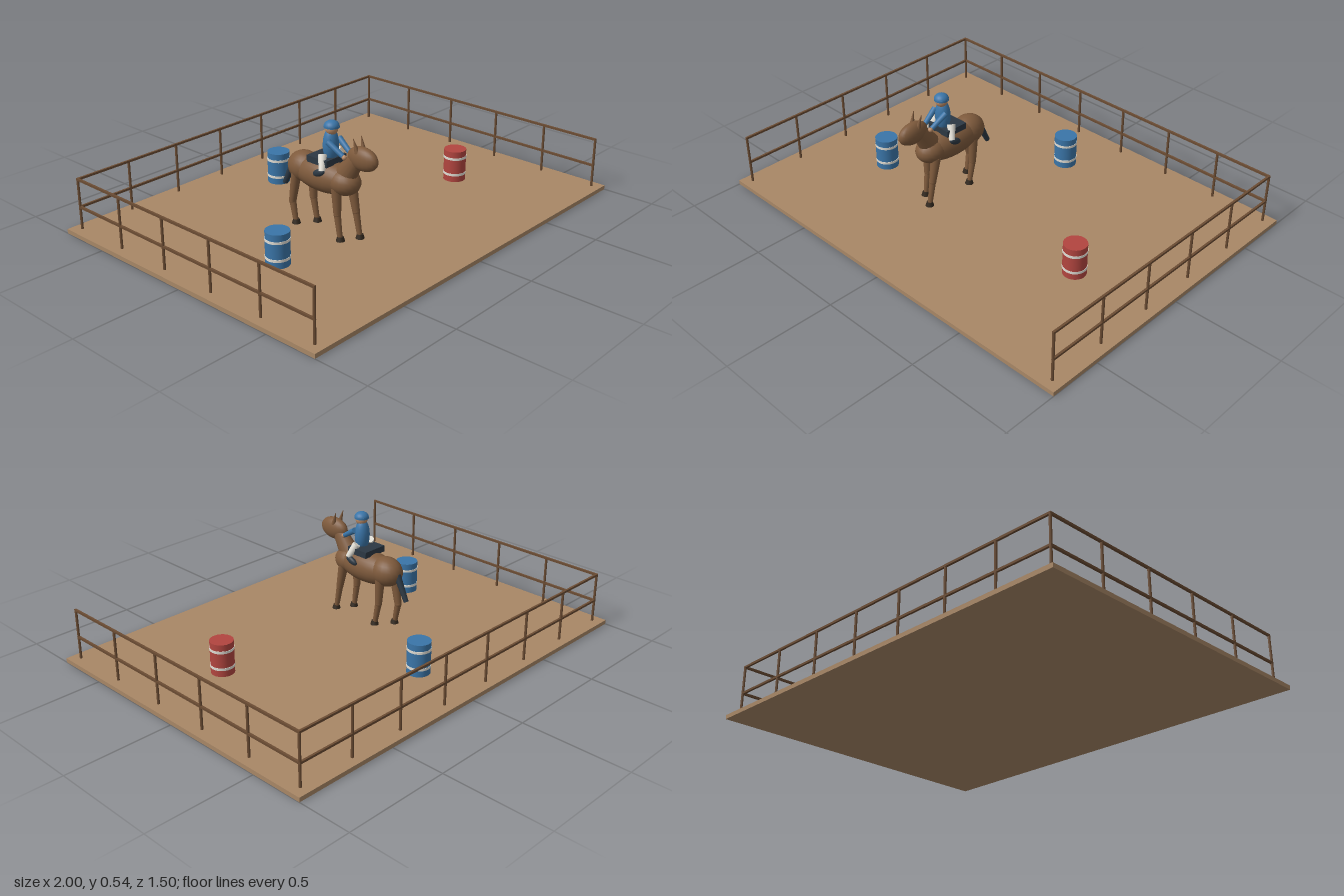
import * as THREE from 'three';

const mat = (name, color) => {
  const m = new THREE.MeshStandardMaterial({ color });
  m.name = name;
  return m;
};

export function createModel() {
  const sand = mat('sand', 0xa88766), wood = mat('fence wood', 0x6b4c33);
  const coat = mat('brown coat', 0x7e5a3c), dark = mat('dark tack', 0x2c3843);
  const hoofMat = mat('hoof', 0x33291f), blue = mat('blue', 0x3a75a8);
  const red = mat('red', 0xb2453f), white = mat('white', 0xe2dfd6), skin = mat('skin', 0xb98a66);

  const model = new THREE.Group();
  const group = (name, parent = model) => {
    const g = new THREE.Group();
    g.name = name;
    parent.add(g);
    return g;
  };
  const add = (parent, name, geo, material, x = 0, y = 0, z = 0) => {
    const m = new THREE.Mesh(geo, material);
    m.name = name;
    m.position.set(x, y, z);
    parent.add(m);
    return m;
  };
  const ball = (parent, name, material, pos, size, tilt = 0) => {
    const m = add(parent, name, new THREE.SphereGeometry(1, 20, 14), material, ...pos);
    m.scale.set(...size);
    m.rotation.x = tilt;
    return m;
  };
  // Tapered round limb from a to b
  const limb = (parent, name, material, a, b, ra, rb = ra, sides = 12) => {
    const p = new THREE.Vector3(...a), q = new THREE.Vector3(...b);
    const d = q.clone().sub(p);
    const m = add(parent, name, new THREE.CylinderGeometry(rb, ra, d.length(), sides), material);
    m.position.copy(p).add(q).multiplyScalar(0.5);
    m.quaternion.setFromUnitVectors(new THREE.Vector3(0, 1, 0), d.normalize());
    return m;
  };

  // Arena floor
  add(model, 'arenaFloor', new THREE.BoxGeometry(2, 0.02, 1.5), sand, 0, 0.01, 0);

  // Fence on the back and both sides, front open
  const fence = group('fence');
  const fx = 0.953, fz = 0.705;
  const post = (x, z) => limb(fence, 'post', wood, [x, 0.02, z], [x, 0.258, z], 0.006, 0.006, 8);
  for (let i = 0; i < 8; i++) post(-fx + (2 * fx * i) / 7, -fz);
  for (const s of [-1, 1]) for (let i = 1; i < 6; i++) post(s * fx, -fz + (2 * fz * i) / 5);
  for (const y of [0.125, 0.256]) {
    add(fence, 'backRail', new THREE.BoxGeometry(2 * fx + 0.008, 0.01, 0.01), wood, 0, y, -fz);
    for (const s of [-1, 1])
      add(fence, 'sideRail', new THREE.BoxGeometry(0.01, 0.01, 2 * fz + 0.008), wood, s * fx, y, 0);
  }

  // Barrels with two pale hoops
  for (const [x, z, colour] of [[-0.605, 0.163, blue], [0, -0.445, blue], [0.59, 0.163, red]]) {
    const barrel = group('barrel');
    barrel.position.set(x, 0, z);
    add(barrel, 'drum', new THREE.CylinderGeometry(0.053, 0.053, 0.153, 24), colour, 0, 0.0965, 0);
    for (const y of [0.056, 0.137])
      add(barrel, 'hoop', new THREE.CylinderGeometry(0.0545, 0.0545, 0.012, 24), white, 0, y, 0);
  }

  // Horse trunk, neck and head
  const horse = group('horse');
  horse.position.x = -0.242;
  ball(horse, 'body', coat, [0, 0.283, 0.085], [0.076, 0.077, 0.18]);
  ball(horse, 'chest', coat, [0, 0.282, 0.2], [0.066, 0.06, 0.08]);
  ball(horse, 'rump', coat, [0, 0.29, -0.03], [0.068, 0.07, 0.083]);
  limb(horse, 'neck', coat, [0, 0.295, 0.195], [0, 0.41, 0.275], 0.055, 0.036, 16).scale.x = 0.8;
  ball(horse, 'head', coat, [0, 0.413, 0.305], [0.036, 0.053, 0.08]);
  for (const s of [-1, 1]) limb(horse, 'ear', coat, [s * 0.02, 0.44, 0.292], [s * 0.025, 0.502, 0.274], 0.012, 0.001, 8);

  // Legs: hip, knee and foot as [y, z], in mid stride
  const legs = [
    [1, [0.26, 0.21], [0.14, 0.235], 0.255],
    [-1, [0.26, 0.19], [0.14, 0.195], 0.21],
    [1, [0.27, -0.025], [0.135, -0.018], 0.002],
    [-1, [0.27, -0.045], [0.125, -0.072], -0.055],
  ];
  for (const [s, [hy, hz], [ky, kz], foot] of legs) {
    const leg = group('leg', horse), x = s * 0.038;
    limb(leg, 'upperLeg', coat, [x, hy, hz], [x, ky, kz], 0.024, 0.017);
    ball(leg, 'knee', coat, [x, ky, kz], [0.017, 0.018, 0.017]);
    limb(leg, 'lowerLeg', coat, [x, ky, kz], [x, 0.035, foot], 0.016, 0.012);
    add(leg, 'hoof', new THREE.CylinderGeometry(0.014, 0.02, 0.02, 12), hoofMat, x, 0.03, foot + 0.003);
  }

  // Tail and saddle
  limb(horse, 'tail', dark, [0, 0.315, -0.085], [0, 0.175, -0.155], 0.018, 0.012);
  add(horse, 'saddle', new THREE.BoxGeometry(0.126, 0.03, 0.115), dark, 0, 0.364, 0.1);

  // Rider
  const rider = group('rider', horse);
  ball(rider, 'torso', blue, [0, 0.428, 0.125], [0.037, 0.078, 0.034]);
  ball(rider, 'head', skin, [0, 0.505, 0.13], [0.028, 0.03, 0.028]);
  const cap = add(rider, 'cap', new THREE.SphereGeometry(0.034, 20, 8, 0, Math.PI * 2, 0, Math.PI / 2), blue, 0, 0.514, 0.13);
  cap.scale.y = 0.8;
  add(rider, 'capBand', new THREE.CylinderGeometry(0.034, 0.034, 0.008, 20), blue, 0, 0.514, 0.13);
  for (const s of [-1, 1]) {
    limb(rider, 'arm', blue, [s * 0.035, 0.455, 0.14], [s * 0.024, 0.407, 0.215], 0.014, 0.011);
    ball(rider, 'hand', skin, [s * 0.023, 0.403, 0.222], [0.011, 0.011, 0.011]);
    limb(rider, 'trouserLeg', white, [s * 0.045, 0.395, 0.118], [s * 0.075, 0.335, 0.142], 0.019, 0.014);
    ball(rider, 'boot', dark, [s * 0.074, 0.322, 0.122], [0.013, 0.016, 0.034], -0.4);
  }
  return model;
}
